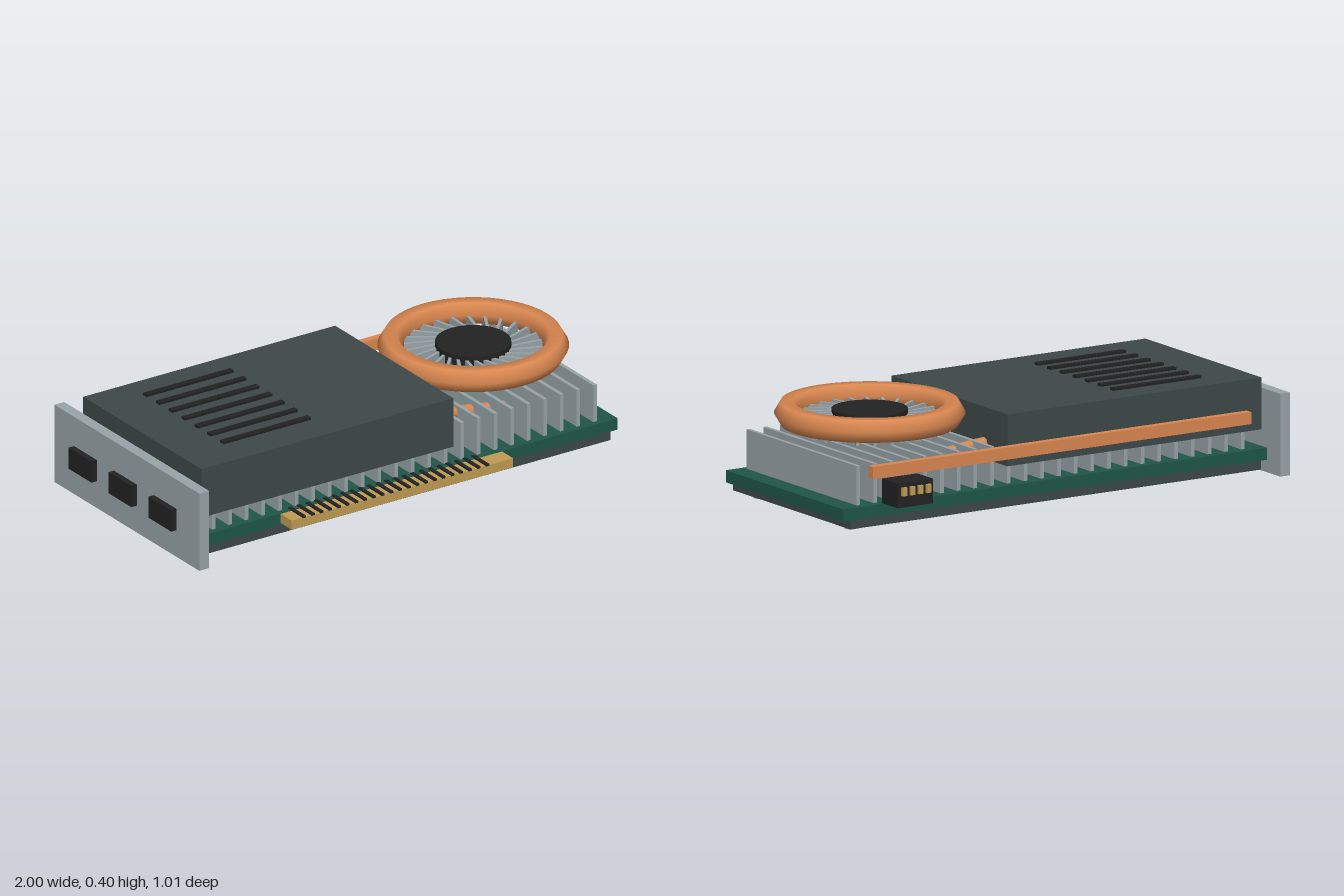
import * as THREE from 'three';

const mat = (name, color) => Object.assign(new THREE.MeshStandardMaterial({ color }), { name });

export function createModel() {
  const root = new THREE.Group();
  root.name = 'expansionCard';
  const casing = mat('charcoal casing', 0x3d4848);
  const black = mat('black plastic', 0x222222);
  const board = mat('green board', 0x1f5648);
  const metal = mat('light metal', 0x98a4a8);
  const copper = mat('copper', 0xd98750);
  const gold = mat('gold', 0xc09c54);

  const add = (name, geometry, material, parent = root) => {
    const m = new THREE.Mesh(geometry, material);
    m.name = name;
    parent.add(m);
    return m;
  };
  // Box given by its minimum and maximum on each axis
  const box = (name, material, x0, x1, y0, y1, z0, z1) => {
    const m = add(name, new THREE.BoxGeometry(x1 - x0, y1 - y0, z1 - z0), material);
    m.position.set((x0 + x1) / 2, (y0 + y1) / 2, (z0 + z1) / 2);
    return m;
  };

  // Board, back plate and its screws
  box('circuitBoard', board, -0.925, 1, 0.055, 0.102, -0.39, 0.42);
  box('backPlate', casing, -0.9, 0.967, 0.02, 0.055, -0.388, 0.42);
  for (const x of [-0.833, 0.903]) {
    for (const z of [-0.295, 0.33]) {
      add('screw', new THREE.CylinderGeometry(0.025, 0.025, 0.022, 12), metal).position.set(x, 0.011, z);
    }
  }

  // Edge connector with dark contact gaps
  box('edgeConnector', gold, -0.545, 0.47, 0.062, 0.1, 0.415, 0.495);
  for (let i = 0; i < 22; i++) {
    const x = -0.488 + i * 0.04;
    box('contactGap', black, x - 0.0075, x + 0.0075, 0.098, 0.106, 0.397, 0.497);
  }

  // Mounting bracket and ports
  box('bracket', metal, -0.975, -0.93, 0.005, 0.327, -0.475, 0.505);
  for (const z of [-0.265, 0.005, 0.275]) {
    box('port', black, -1, -0.965, 0.117, 0.205, z - 0.077, z + 0.077);
  }

  // Cooling fins
  for (let i = 0; i < 24; i++) {
    const x = -0.836 + i * 0.076;
    box('coolingFin', metal, x - 0.008, x + 0.008, 0.1, 0.255, -0.36, 0.397);
  }

  // Shroud with vent slots
  box('shroud', casing, -0.905, 0.25, 0.175, 0.377, -0.383, 0.416);
  for (let i = 0; i < 7; i++) {
    const z = 0.003 + (i - 3) * 0.0867;
    box('ventSlot', black, -0.708, -0.308, 0.375, 0.387, z - 0.012, z + 0.012);
  }

  // Curved heat pipes
  for (const z of [-0.222, 0.242]) {
    const path = new THREE.CatmullRomCurve3([
      new THREE.Vector3(-0.73, 0.148, z),
      new THREE.Vector3(-0.2, 0.225, z),
      new THREE.Vector3(0.25, 0.235, z),
      new THREE.Vector3(0.81, 0.15, z),
    ]);
    add('heatPipe', new THREE.TubeGeometry(path, 32, 0.025, 8), copper);
  }

  // Straight rail behind the card
  box('copperRail', copper, -0.825, 0.895, 0.215, 0.262, -0.434, -0.403);

  // Power socket and pins
  box('powerSocket', black, 0.662, 0.822, 0.104, 0.2, -0.495, -0.386);
  for (let i = 0; i < 4; i++) {
    const x = 0.686 + i * 0.037;
    box('powerPin', gold, x - 0.01, x + 0.01, 0.15, 0.183, -0.507, -0.49);
  }

  // Fan: ring, hub and swept blades
  const fan = new THREE.Group();
  fan.name = 'fan';
  fan.position.set(0.612, 0, 0.016);
  root.add(fan);
  const ring = add('fanRing', new THREE.TorusGeometry(0.314, 0.05, 6, 48), copper, fan);
  ring.rotation.x = Math.PI / 2;
  ring.position.y = 0.356;
  add('fanHub', new THREE.CylinderGeometry(0.145, 0.145, 0.09, 28), black, fan).position.y = 0.327;
  const blades = 26;
  for (let i = 0; i < blades; i++) {
    const arm = new THREE.Group();
    arm.name = 'fanBlade';
    arm.rotation.y = (i / blades) * Math.PI * 2;
    fan.add(arm);
    const blade = add('blade', new THREE.BoxGeometry(0.145, 0.07, 0.012), metal, arm);
    blade.position.set(0.205, 0.32, 0);
    blade.rotation.y = 0.35;
  }
  return root;
}
